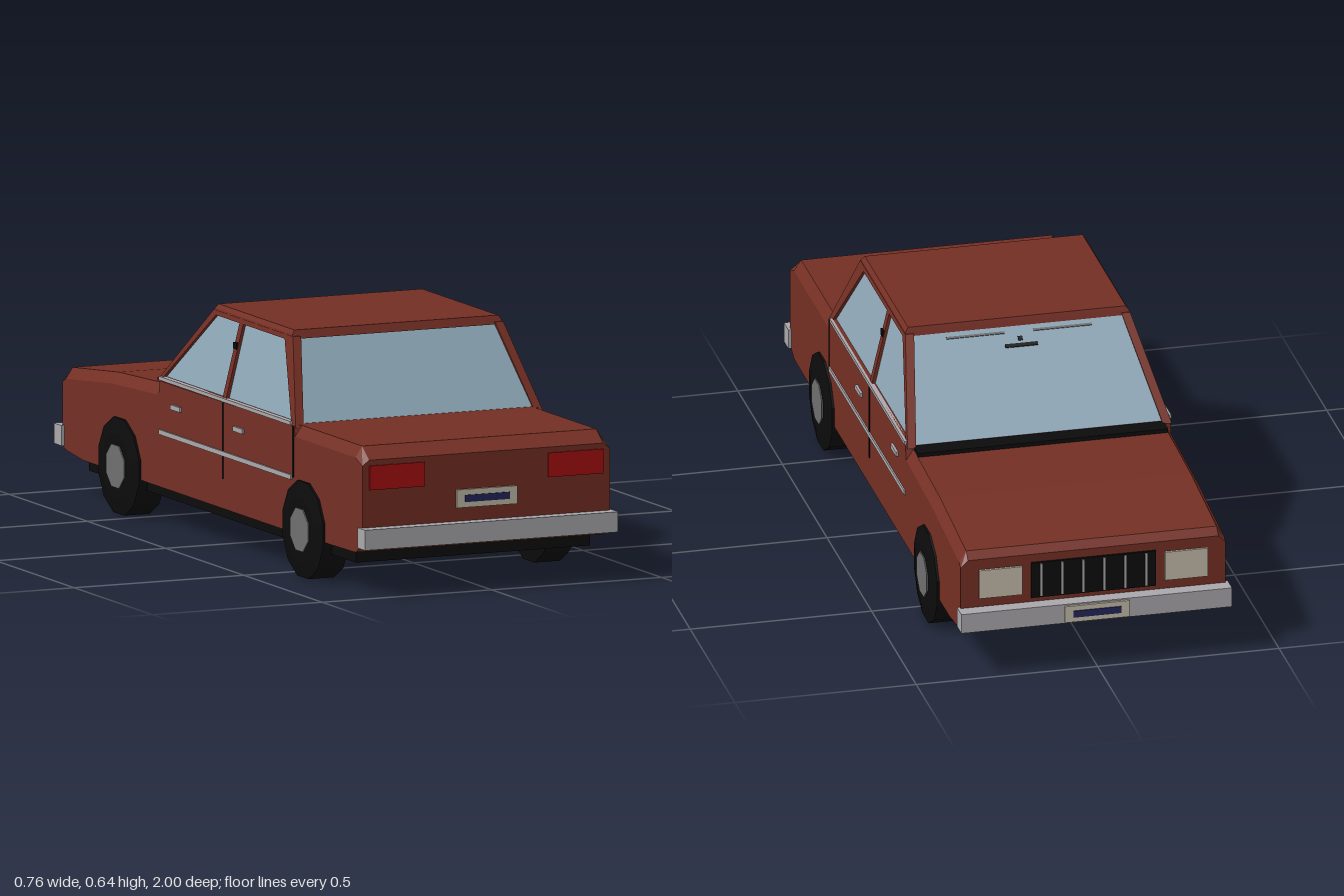
import * as THREE from 'three';

const mat = (name, color) => {
  const m = new THREE.MeshStandardMaterial({ color });
  m.name = name;
  return m;
};

// Faceted normals
const facet = (geo) => {
  const g = geo.index ? geo.toNonIndexed() : geo;
  g.computeVertexNormals();
  return g;
};

// Mirror across x = 0, keeping faces outward
const mirrorX = (geo) => {
  const g = geo.index ? geo.toNonIndexed() : geo.clone();
  const p = g.attributes.position;
  for (let i = 0; i < p.count; i += 3) {
    const v = [0, 2, 1].map((k) => new THREE.Vector3().fromBufferAttribute(p, i + k));
    v.forEach((q, k) => p.setXYZ(i + k, -q.x, q.y, q.z));
  }
  g.computeVertexNormals();
  return g;
};

// Closed solid through a list of equal-length rings
const loft = (rings) => {
  const n = rings[0].length, last = (rings.length - 1) * n, idx = [];
  for (let i = 0; i < rings.length - 1; i++)
    for (let j = 0; j < n; j++) {
      const a = i * n + j, b = i * n + ((j + 1) % n);
      idx.push(a, a + n, b, b, a + n, b + n);
    }
  for (let j = 1; j < n - 1; j++) {
    idx.push(0, j, j + 1);
    idx.push(last, last + j + 1, last + j);
  }
  const g = new THREE.BufferGeometry();
  g.setAttribute('position', new THREE.Float32BufferAttribute(rings.flat(2), 3));
  g.setIndex(idx);
  return facet(g);
};

export function createModel() {
  const car = new THREE.Group();
  car.name = 'sedan';
  const paint = mat('brown red paint', 0x742f24);
  const glass = mat('blue grey glass', 0x8fa8b8);
  const chrome = mat('chrome', 0xaaa8ac);
  const black = mat('black', 0x0c0c0c);
  const hubGrey = mat('hub grey', 0x707070);
  const tailRed = mat('tail light red', 0xa80f11);
  const cream = mat('cream', 0xc4bdaa);
  const navy = mat('navy', 0x23265a);

  const add = (name, geo, material) => {
    const m = new THREE.Mesh(geo, material);
    m.name = name;
    car.add(m);
    return m;
  };
  // Box given by its limits on each axis
  const box = (name, material, [x0, x1], [y0, y1], [z0, z1]) => {
    const g = new THREE.BoxGeometry(x1 - x0, y1 - y0, z1 - z0);
    g.translate((x0 + x1) / 2, (y0 + y1) / 2, (z0 + z1) / 2);
    return add(name, g, material);
  };
  const boxPair = (name, material, [x0, x1], y, z) => {
    box(name + 'Left', material, [x0, x1], y, z);
    box(name + 'Right', material, [-x1, -x0], y, z);
  };

  // Lower body: z, bottom, top, shoulder drop, shoulder inset
  const stations = [
    [0.965, 0.14, 0.37, 0.015, 0.02],
    [0.92, 0.115, 0.402, 0.03, 0.02],
    [0.535, 0.11, 0.402, 0.03, 0.02],
    [0.53, 0.11, 0.405, 0.005, 0.004],
    [-0.33, 0.11, 0.402, 0.005, 0.004],
    [-0.338, 0.11, 0.388, 0.03, 0.02],
    [-0.635, 0.11, 0.375, 0.03, 0.02],
    [-0.82, 0.11, 0.356, 0.03, 0.02],
    [-0.93, 0.122, 0.345, 0.03, 0.02],
    [-0.95, 0.13, 0.325, 0.02, 0.02],
  ];
  const W = 0.365;
  add('body', loft(stations.map(([z, b, t, drop, inset]) => [
    [-W, b, z], [W, b, z], [W, t - drop, z], [W - inset, t, z], [inset - W, t, z], [-W, t - drop, z],
  ])), paint);
  box('underfloor', black, [-0.345, 0.345], [0.08, 0.112], [-0.825, 0.88]);

  // Cabin glass and roof
  const ring = (x, y, z0, z1) => [[-x, y, z0], [x, y, z0], [x, y, z1], [-x, y, z1]];
  add('cabinGlass', loft([ring(0.354, 0.398, -0.335, 0.53), ring(0.302, 0.62, -0.098, 0.39)]), glass);
  add('roof', loft([ring(0.31, 0.613, -0.105, 0.4), ring(0.308, 0.625, -0.1, 0.395), ring(0.3, 0.636, -0.095, 0.39)]), paint);

  // Side frames with window openings, leaning inward to the roof
  const pts = (list) => list.map(([z, y]) => new THREE.Vector2(z, y));
  const frame = new THREE.Shape(pts([[0.537, 0.395], [0.402, 0.62], [-0.105, 0.62], [-0.35, 0.395]]));
  frame.holes.push(
    new THREE.Path(pts([[0.5, 0.41], [0.355, 0.608], [0.09, 0.608], [0.085, 0.41]])),
    new THREE.Path(pts([[0.063, 0.41], [0.066, 0.608], [-0.085, 0.608], [-0.315, 0.41]])),
  );
  const frameGeo = new THREE.ExtrudeGeometry(frame, { depth: 0.024, bevelEnabled: false });
  const fp = frameGeo.attributes.position;
  for (let i = 0; i < fp.count; i++) {
    const z = fp.getX(i), y = fp.getY(i), d = fp.getZ(i);
    const lean = 0.363 - ((y - 0.4) / 0.215) * 0.052;
    fp.setXYZ(i, -(lean - 0.024 + d), y, z);
  }
  add('windowFrameRight', facet(frameGeo), paint);
  add('windowFrameLeft', mirrorX(frameGeo), paint);

  // Door trim, seams and handles
  boxPair('beltTrim', chrome, [0.355, 0.368], [0.4, 0.41], [-0.33, 0.51]);
  boxPair('sideTrim', chrome, [0.36, 0.369], [0.253, 0.266], [-0.33, 0.515]);
  for (const z of [0.15, -0.25])
    boxPair('doorHandle', chrome, [0.36, 0.372], [0.332, 0.345], [z, z + 0.06]);
  boxPair('doorSeam', black, [0.36, 0.3665], [0.19, 0.4], [0.07, 0.077]);
  boxPair('rearDoorSeam', black, [0.36, 0.3665], [0.26, 0.4], [0.519, 0.527]);
  boxPair('pillarLatch', black, [0.315, 0.331], [0.54, 0.558], [0.066, 0.088]);

  // Cowl and windshield fittings
  box('cowl', black, [-0.345, 0.345], [0.375, 0.397], [-0.388, -0.334]);
  const onWindshield = (name, material, x, z, w, h) => {
    const m = add(name, new THREE.BoxGeometry(w, 0.006, h), material);
    m.position.set(x, 0.62 + ((z + 0.098) * 0.222) / 0.237, z);
    m.rotation.x = -Math.atan2(0.222, 0.237);
  };
  onWindshield('mirror', black, 0, -0.146, 0.09, 0.01);
  onWindshield('mirrorStem', black, 0, -0.132, 0.012, 0.012);
  for (const s of [-1, 1]) onWindshield('visorEdge', hubGrey, s * 0.12, -0.117, 0.16, 0.006);

  // Bumpers
  box('rearBumper', chrome, [-0.373, 0.373], [0.132, 0.187], [0.95, 1.0]);
  box('frontBumper', chrome, [-0.373, 0.373], [0.132, 0.187], [-0.99, -0.94]);

  // Tail lights and plates
  boxPair('tailLight', tailRed, [0.182, 0.345], [0.289, 0.355], [0.962, 0.97]);
  box('rearPlate', cream, [-0.089, 0.089], [0.224, 0.273], [0.963, 0.972]);
  box('rearPlatePanel', navy, [-0.066, 0.066], [0.239, 0.258], [0.97, 0.975]);
  box('frontPlate', cream, [-0.089, 0.089], [0.136, 0.183], [-0.997, -0.989]);
  box('frontPlatePanel', navy, [-0.066, 0.066], [0.15, 0.169], [-1.0, -0.996]);

  // Headlights and grille
  boxPair('headlight', cream, [0.197, 0.315], [0.213, 0.295], [-0.957, -0.949]);
  box('grille', black, [-0.172, 0.172], [0.2, 0.302], [-0.956, -0.948]);
  for (let i = 0; i < 6; i++) {
    const x = (i - 2.5) * 0.058;
    box('grilleBar', chrome, [x - 0.003, x + 0.003], [0.204, 0.298], [-0.959, -0.955]);
  }

  // Wheels
  const profile = [[0, -0.046], [0.09, -0.046], [0.134, -0.038], [0.134, 0.038], [0.09, 0.046], [0, 0.046]];
  const tireGeo = facet(new THREE.LatheGeometry(profile.map(([r, y]) => new THREE.Vector2(r, y)), 12, Math.PI / 12)
    .rotateZ(-Math.PI / 2));
  const hubGeo = facet(new THREE.CylinderGeometry(0.062, 0.062, 0.098, 8, 1, false, Math.PI / 8)
    .rotateZ(-Math.PI / 2));
  for (const z of [0.597, -0.58])
    for (const x of [-0.333, 0.333]) {
      add('tire', tireGeo, black).position.set(x, 0.13, z);
      add('hubcap', hubGeo, hubGrey).position.set(x, 0.13, z);
    }

  return car;
}
